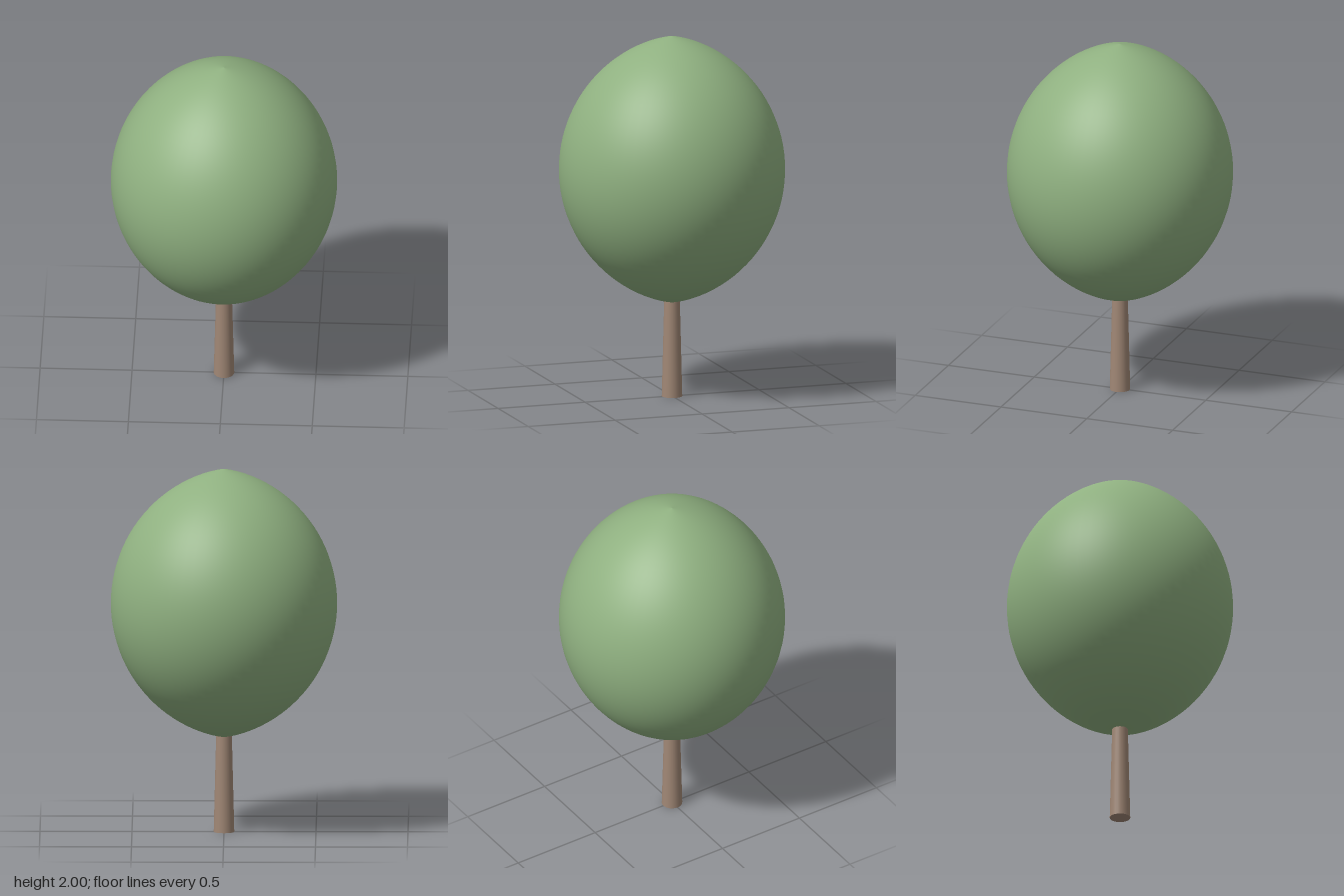
import * as THREE from 'three';

const leafGreen = new THREE.MeshStandardMaterial({ color: 0x8fb080 });
leafGreen.name = 'leaf green';
const barkBrown = new THREE.MeshStandardMaterial({ color: 0xa08775 });
barkBrown.name = 'bark brown';

export function createModel() {
  const tree = new THREE.Group();
  tree.name = 'tree';

  // Trunk: slim taper, its top hidden inside the crown
  const trunk = new THREE.Mesh(new THREE.CylinderGeometry(0.041, 0.056, 0.6, 24), barkBrown);
  trunk.name = 'trunk';
  trunk.position.y = 0.3;
  tree.add(trunk);

  // Crown: a circular arc turned about the trunk, pointed at both ends
  const midY = 1.26, halfHeight = 0.74, radius = 0.615;
  const arc = (radius ** 2 + halfHeight ** 2) / (2 * radius);
  const end = Math.asin(halfHeight / arc);
  const profile = [];
  for (let i = 0; i <= 48; i++) {
    const a = -end + (2 * end * i) / 48;
    const r = arc * Math.cos(a) - (arc - radius);
    profile.push(new THREE.Vector2(Math.max(r, 0), midY + arc * Math.sin(a)));
  }
  const crown = new THREE.Mesh(new THREE.LatheGeometry(profile, 64), leafGreen);
  crown.name = 'crown';
  tree.add(crown);

  return tree;
}
